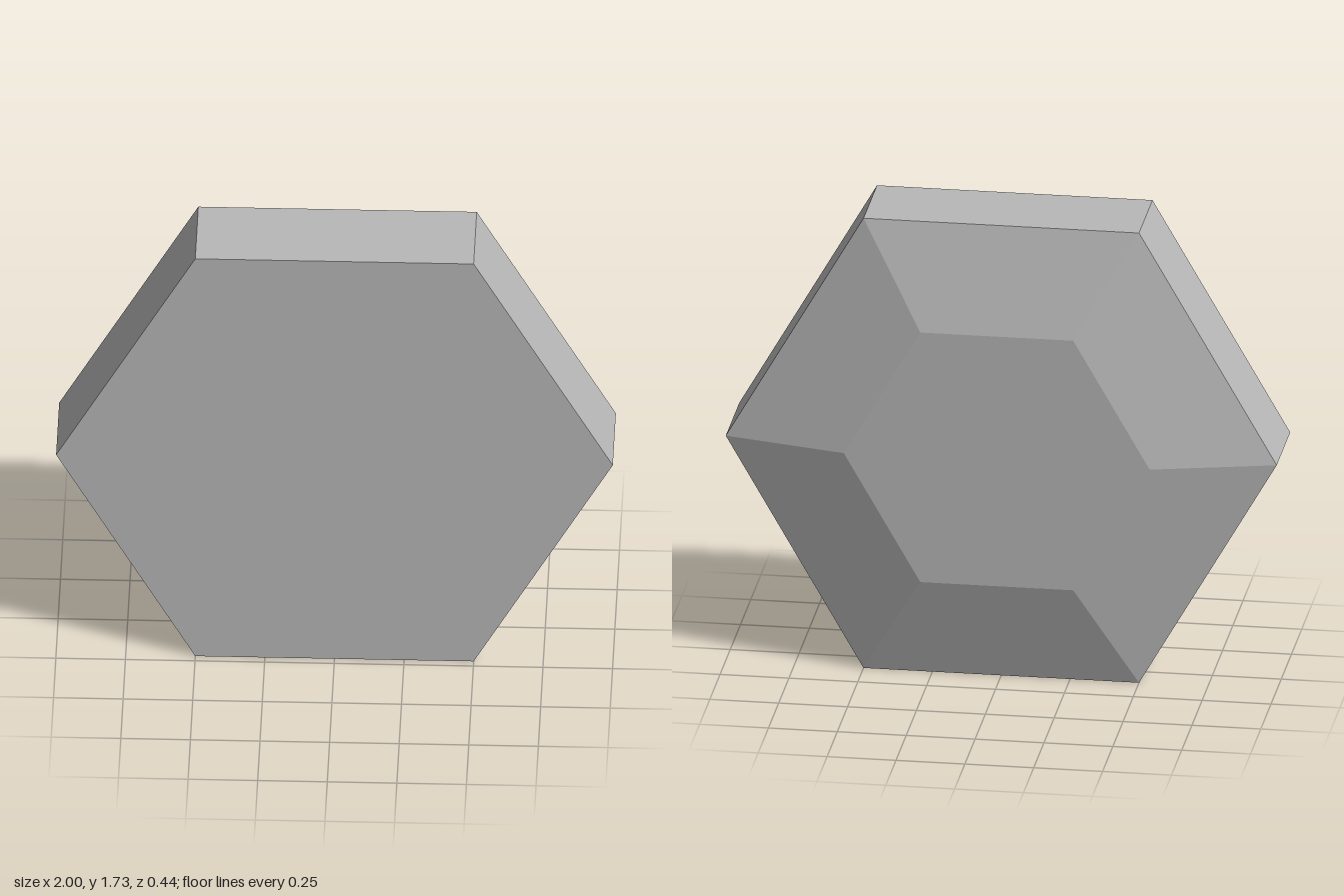
import * as THREE from 'three';

const RADIUS = 1, BACK_RADIUS = 0.555;
const FRONT_Z = 0.22, RIM_Z = -0.11, BACK_Z = -0.22;

export function createModel() {
  const group = new THREE.Group();
  group.name = 'hexagonalPlate';
  const gray = new THREE.MeshStandardMaterial({ color: 0xb8b8b8, flatShading: true });
  gray.name = 'plain gray';

  const add = (name, geometry, z) => {
    const mesh = new THREE.Mesh(geometry, gray);
    mesh.name = name;
    mesh.position.set(0, RADIUS * Math.sin(Math.PI / 3), z);
    group.add(mesh);
  };

  // Open six-sided ring along z, with corners on the x axis
  const ring = (frontRadius, backRadius, depth) =>
    new THREE.CylinderGeometry(frontRadius, backRadius, depth, 6, 1, true, Math.PI / 2)
      .rotateX(Math.PI / 2);

  // Straight outer walls and the sloping bevel behind them
  add('sideWalls', ring(RADIUS, RADIUS, FRONT_Z - RIM_Z), (FRONT_Z + RIM_Z) / 2);
  add('backBevel', ring(RADIUS, BACK_RADIUS, RIM_Z - BACK_Z), (RIM_Z + BACK_Z) / 2);

  // Flat hexagonal faces
  add('frontFace', new THREE.CircleGeometry(RADIUS, 6), FRONT_Z);
  add('backFace', new THREE.CircleGeometry(BACK_RADIUS, 6).rotateY(Math.PI), BACK_Z);

  return group;
}
